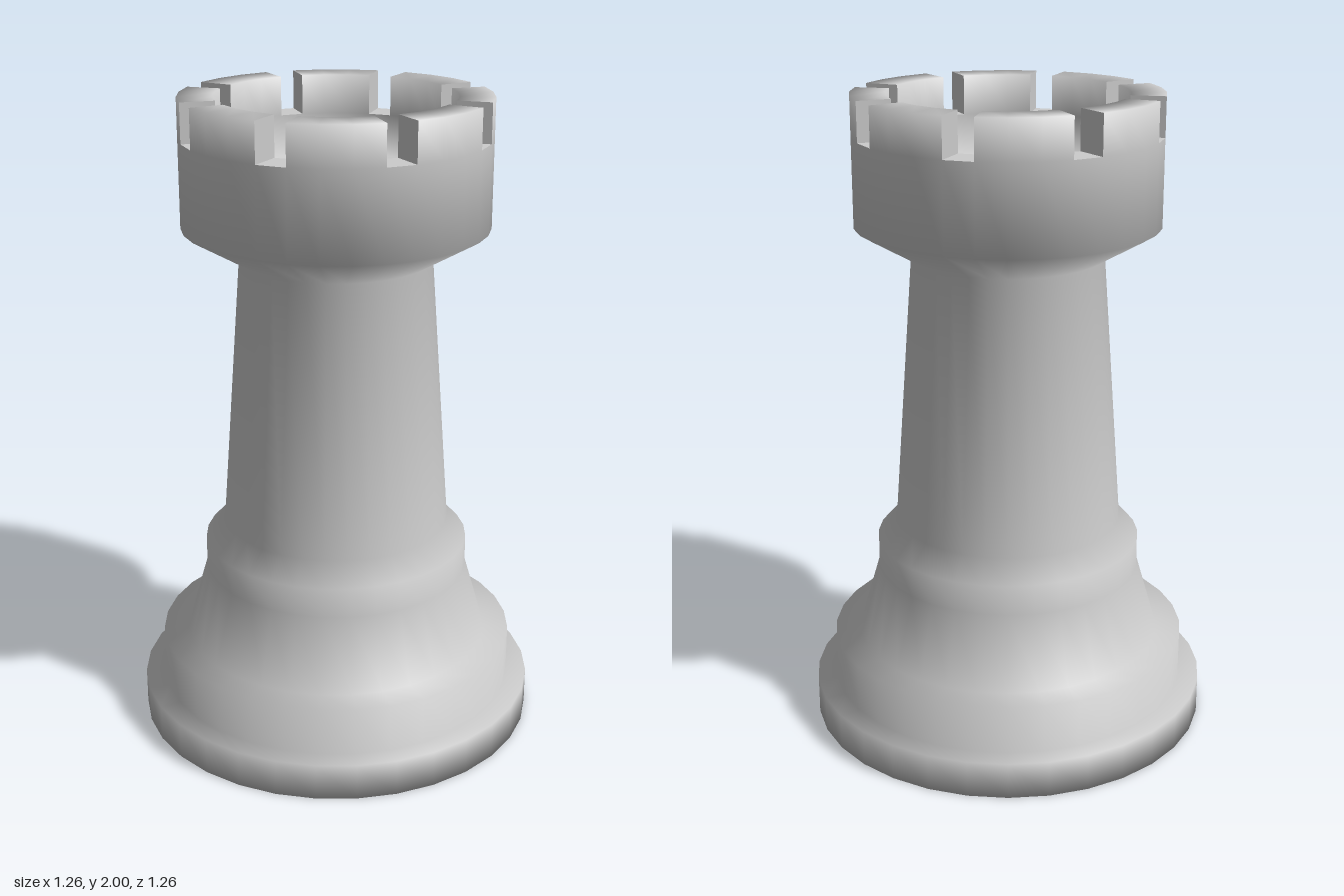
import * as THREE from 'three';

const SEGMENTS = 32;
const STEP = (Math.PI * 2) / SEGMENTS;
const R_OUT = 0.467, R_IN = 0.362;      // crown wall radii
const Y_GAP = 1.88, Y_TOP = 2, Y_WELL = 1.75;

export function createModel() {
  const model = new THREE.Group();
  const material = new THREE.MeshStandardMaterial({ color: 0xcccccc });
  const thin = new THREE.MeshStandardMaterial({ color: 0xcccccc, side: THREE.DoubleSide });

  // Revolves a profile over a number of segments, starting at a given segment
  function revolve(name, profile, parent = model, start = 0, count = SEGMENTS) {
    const points = profile.map(([r, y]) => new THREE.Vector2(r, y));
    const geometry = new THREE.LatheGeometry(points, count, start * STEP, count * STEP);
    const mesh = new THREE.Mesh(geometry, material);
    mesh.name = name;
    parent.add(mesh);
  }

  // Stepped foot, collar, tapering shaft and flared crown wall
  revolve('towerBody', [
    [0, 0], [0.63, 0], [0.63, 0.115],
    [0.565, 0.115], [0.565, 0.27],
    [0.485, 0.27], [0.418, 0.5], [0.418, 0.595],
    [0.357, 0.66], [0.295, 1.51],
    [R_OUT, 1.61], [R_OUT, Y_GAP],
  ]);

  // Sunken floor inside the crown
  revolve('crownWell', [[R_IN, Y_GAP], [R_IN, Y_WELL], [0, Y_WELL]]);

  // Eight battlements, three segments wide, with one-segment notches between
  const battlements = new THREE.Group();
  battlements.name = 'battlements';
  model.add(battlements);
  const height = Y_TOP - Y_GAP;
  const endGeometry = new THREE.PlaneGeometry(R_OUT - R_IN, height);
  for (let i = 0; i < 8; i++) {
    const notch = i * 4 + 2;
    revolve('notchFloor', [[R_OUT, Y_GAP], [R_IN, Y_GAP]], battlements, notch, 1);
    revolve('battlement', [
      [R_OUT, Y_GAP], [R_OUT, Y_TOP], [R_IN, Y_TOP], [R_IN, Y_GAP],
    ], battlements, notch + 1, 3);

    // Flat faces on both sides of the notch
    for (const edge of [notch, notch + 1]) {
      const angle = edge * STEP, r = (R_OUT + R_IN) / 2;
      const end = new THREE.Mesh(endGeometry, thin);
      end.name = 'battlementEnd';
      end.position.set(r * Math.sin(angle), Y_GAP + height / 2, r * Math.cos(angle));
      end.rotation.y = angle - Math.PI / 2;
      battlements.add(end);
    }
  }
  return model;
}
